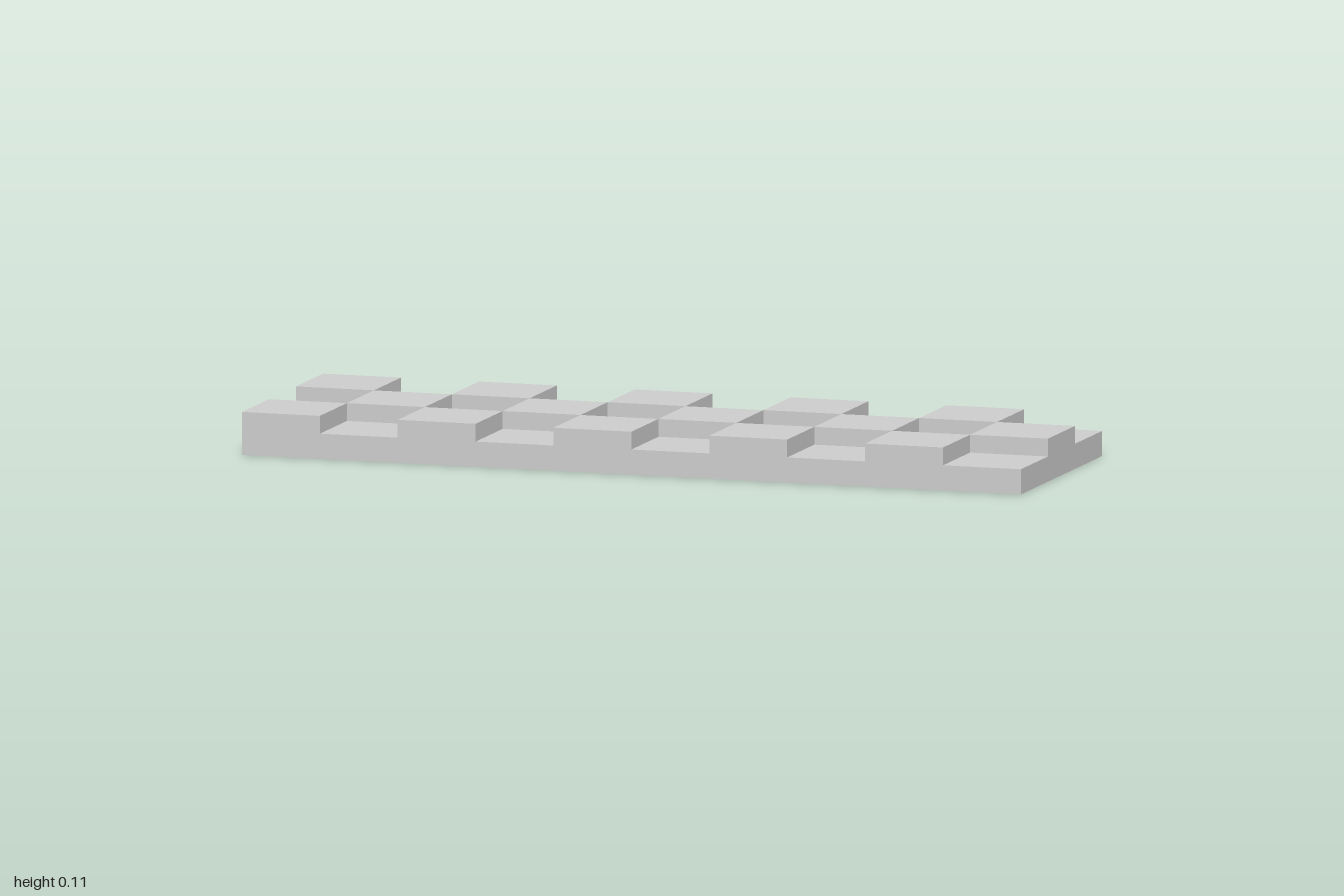
import * as THREE from 'three';

const COLUMNS = 10, ROWS = 3;
const LENGTH = 2, DEPTH = 0.636;
const LOW = 0.062, HIGH = 0.106;

// Stepped side profile of one row, alternating raised and sunken tiles
function rowProfile(firstRaised) {
  const step = LENGTH / COLUMNS;
  const shape = new THREE.Shape();
  shape.moveTo(-LENGTH / 2, 0);
  for (let i = 0; i < COLUMNS; i++) {
    const y = (i % 2 === 0) === firstRaised ? HIGH : LOW;
    shape.lineTo(-LENGTH / 2 + i * step, y);
    shape.lineTo(-LENGTH / 2 + (i + 1) * step, y);
  }
  shape.lineTo(LENGTH / 2, 0);
  shape.closePath();
  return shape;
}

export function createModel() {
  const model = new THREE.Group();
  model.name = 'checkeredSlab';
  const material = new THREE.MeshStandardMaterial({ color: 0xcccccc, flatShading: true });
  const names = ['backTileRow', 'middleTileRow', 'frontTileRow'];
  const rowDepth = DEPTH / ROWS;

  // Rows run from back to front; the middle one is offset by one tile
  for (let r = 0; r < ROWS; r++) {
    const geometry = new THREE.ExtrudeGeometry(rowProfile(r % 2 === 0), {
      depth: rowDepth, bevelEnabled: false,
    });
    const row = new THREE.Mesh(geometry, material);
    row.name = names[r];
    row.position.z = -DEPTH / 2 + r * rowDepth;
    model.add(row);
  }
  return model;
}
